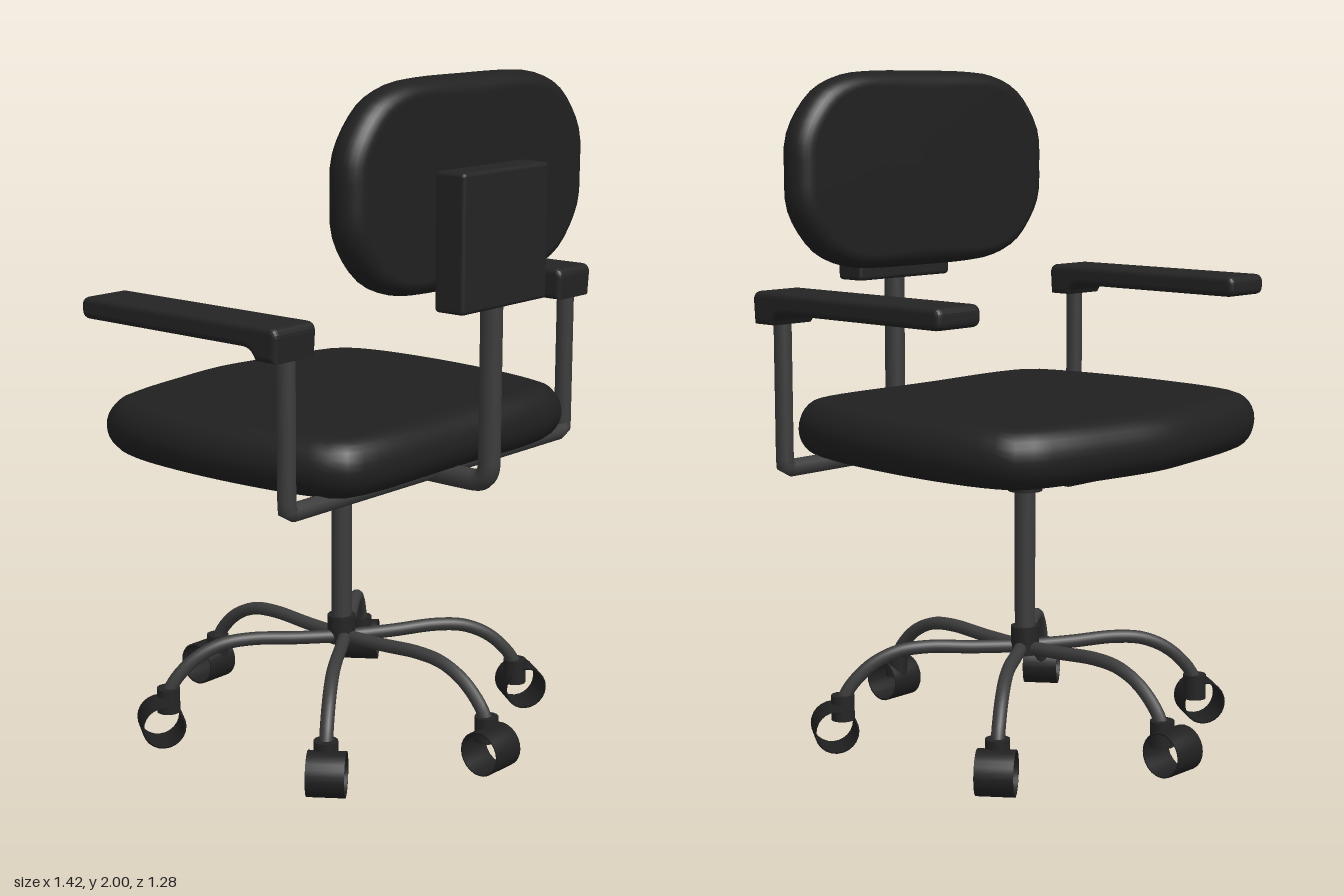
import * as THREE from 'three';
import { RoundedBoxGeometry } from 'three/addons/geometries/RoundedBoxGeometry.js';

const fabric = new THREE.MeshStandardMaterial({ name: 'black fabric', color: 0x202020 });
const plastic = new THREE.MeshStandardMaterial({ name: 'black plastic', color: 0x242424 });
const metal = new THREE.MeshStandardMaterial({ name: 'dark metal', color: 0x3c3c3c });
const rubber = new THREE.MeshStandardMaterial({ name: 'wheel rubber', color: 0x202020, side: THREE.DoubleSide });

const v = (x, y, z) => new THREE.Vector3(x, y, z);

function add(parent, name, geometry, material, x = 0, y = 0, z = 0) {
  const mesh = new THREE.Mesh(geometry, material);
  mesh.name = name;
  mesh.position.set(x, y, z);
  parent.add(mesh);
  return mesh;
}

// Tube through straight runs joined by rounded bends
function bentTube(points, radius, bend) {
  const path = new THREE.CurvePath();
  let from = points[0];
  for (let i = 1; i < points.length - 1; i++) {
    const p = points[i];
    const a = p.clone().add(points[i - 1].clone().sub(p).setLength(bend));
    const b = p.clone().add(points[i + 1].clone().sub(p).setLength(bend));
    path.add(new THREE.LineCurve3(from, a));
    path.add(new THREE.QuadraticBezierCurve3(a, p, b));
    from = b;
  }
  path.add(new THREE.LineCurve3(from, points[points.length - 1]));
  return new THREE.TubeGeometry(path, 100, radius, 12, false);
}

// Cushion from inset rings of a half outline (+z round to -z), thickness along y
function cushion(half, thickness, edge) {
  const mirrored = half.slice(1, -1).reverse().map(([x, z]) => [-x, z]);
  const curve = new THREE.CatmullRomCurve3([...half, ...mirrored].map(([x, z]) => v(x, 0, z)), true, 'centripetal');
  const outline = curve.getSpacedPoints(72).slice(0, 72);
  const n = outline.length, rows = 14, pos = [], index = [];
  for (let r = 0; r <= rows; r++) {
    const a = -Math.PI / 2 + Math.PI * r / rows;
    const inset = edge * (1 - Math.cos(a));
    for (const p of outline) {
      const s = 1 - inset / p.length();
      pos.push(p.x * s, Math.sin(a) * thickness / 2 * 0.97, p.z * s);
    }
  }
  for (let r = 0; r < rows; r++) for (let i = 0; i < n; i++) {
    const j = (i + 1) % n, a = r * n + i, b = r * n + j;
    index.push(a, b, a + n, b, b + n, a + n);
  }
  const bottom = pos.length / 3;
  pos.push(0, -thickness / 2, 0, 0, thickness / 2, 0);
  for (let i = 0; i < n; i++) {
    const j = (i + 1) % n;
    index.push(bottom, j, i, bottom + 1, rows * n + i, rows * n + j);
  }
  const g = new THREE.BufferGeometry();
  g.setAttribute('position', new THREE.Float32BufferAttribute(pos, 3));
  g.setIndex(index);
  g.computeVertexNormals();
  return g;
}

export function createModel() {
  const chair = new THREE.Group();
  chair.name = 'officeChair';

  // Seat cushion, its bowed front edge towards -z
  const seatHalf = [[0, 0.47], [0.4, 0.46], [0.51, 0.425], [0.555, 0.32], [0.59, 0.12], [0.6, -0.12],
    [0.574, -0.36], [0.525, -0.47], [0.42, -0.515], [0.22, -0.557], [0, -0.584]];
  add(chair, 'seat', cushion(seatHalf, 0.175, 0.08), fabric, 0, 0.963, 0);

  // Upright backrest cushion
  const backHalf = [[0, 0.295], [0.2, 0.293], [0.31, 0.282], [0.41, 0.243], [0.48, 0.172], [0.517, 0.1], [0.522, 0],
    [0.517, -0.1], [0.48, -0.172], [0.41, -0.243], [0.31, -0.282], [0.2, -0.293], [0, -0.295]];
  const backrest = add(chair, 'backrest', cushion(backHalf, 0.12, 0.055), fabric, 0, 1.705, 0.43);
  backrest.rotation.x = Math.PI / 2;
  add(chair, 'backPlate', new RoundedBoxGeometry(0.385, 0.385, 0.1, 2, 0.012), plastic, 0, 1.56, 0.538);

  // Post that carries the backrest from under the seat
  add(chair, 'backPost', bentTube([v(0, 1.4, 0.54), v(0, 0.858, 0.54), v(0, 0.858, 0.1)], 0.032, 0.06), metal);
  add(chair, 'seatMount', new RoundedBoxGeometry(0.27, 0.06, 0.45, 2, 0.012), plastic, 0, 0.853, -0.08);

  // U-shaped armrest frame
  add(chair, 'armFrame', bentTube([v(-0.63, 1.33, 0.345), v(-0.63, 0.865, 0.345), v(0.63, 0.865, 0.345),
    v(0.63, 1.33, 0.345)], 0.026, 0.015), metal);

  // Arm pads, thicker over the frame
  const pad = new THREE.Shape();
  pad.moveTo(-0.37, 1.295);
  pad.lineTo(-0.31, 1.295);
  pad.quadraticCurveTo(-0.295, 1.325, -0.26, 1.328);
  pad.lineTo(0.335, 1.328);
  pad.quadraticCurveTo(0.352, 1.328, 0.352, 1.345);
  pad.lineTo(0.352, 1.358);
  pad.quadraticCurveTo(0.352, 1.374, 0.335, 1.374);
  pad.lineTo(-0.355, 1.374);
  pad.quadraticCurveTo(-0.374, 1.374, -0.374, 1.355);
  pad.closePath();
  const padGeo = new THREE.ExtrudeGeometry(pad, {
    depth: 0.132, bevelSize: 0.016, bevelOffset: -0.008, bevelThickness: 0.016, bevelSegments: 4, curveSegments: 5,
  });
  padGeo.translate(0, 0, -0.066).rotateY(Math.PI / 2);
  for (const side of [-1, 1]) add(chair, side > 0 ? 'leftArmPad' : 'rightArmPad', padGeo, plastic, side * 0.629, 0, 0);

  // Central column with collars
  add(chair, 'column', new THREE.CylinderGeometry(0.031, 0.031, 0.54, 20), metal, 0, 0.55, -0.013);
  add(chair, 'upperCollar', new THREE.CylinderGeometry(0.052, 0.052, 0.07, 20), plastic, 0, 0.795, -0.013);
  add(chair, 'hub', new THREE.CylinderGeometry(0.043, 0.043, 0.085, 20), plastic, 0, 0.303, -0.013);

  // Six curved legs with thin, open-ended caster wheels
  const legCurve = new THREE.CatmullRomCurve3([v(0, 0.28, 0), v(0, 0.285, 0.15), v(0, 0.293, 0.29), v(0, 0.283, 0.38),
    v(0, 0.245, 0.46), v(0, 0.18, 0.525), v(0, 0.13, 0.55)]);
  const legGeo = new THREE.TubeGeometry(legCurve, 30, 0.02, 10, false);
  const stemGeo = new THREE.CylinderGeometry(0.035, 0.035, 0.075, 16);
  const rim = [[0.061, -0.055], [0.066, -0.055], [0.066, 0.055], [0.061, 0.055], [0.061, -0.055]];
  const wheelGeo = new THREE.LatheGeometry(rim.map(([r, y]) => new THREE.Vector2(r, y)), 24).rotateZ(Math.PI / 2);
  // Each leg: angle in degrees, sideways offset of its wheel
  const legs = [[0, -0.015], [54.5, 0.025], [125.5, 0], [180, 0.015], [234.5, 0.04], [305.5, 0.005]];
  legs.forEach(([angle, offset], i) => {
    const leg = new THREE.Group();
    leg.name = 'leg' + (i + 1);
    leg.rotation.y = THREE.MathUtils.degToRad(angle);
    add(leg, 'legTube', legGeo, metal);
    add(leg, 'casterStem', stemGeo, plastic, 0, 0.122, 0.545);
    add(leg, 'casterWheel', wheelGeo, rubber, offset, 0.07, 0.573);
    chair.add(leg);
  });
  return chair;
}
